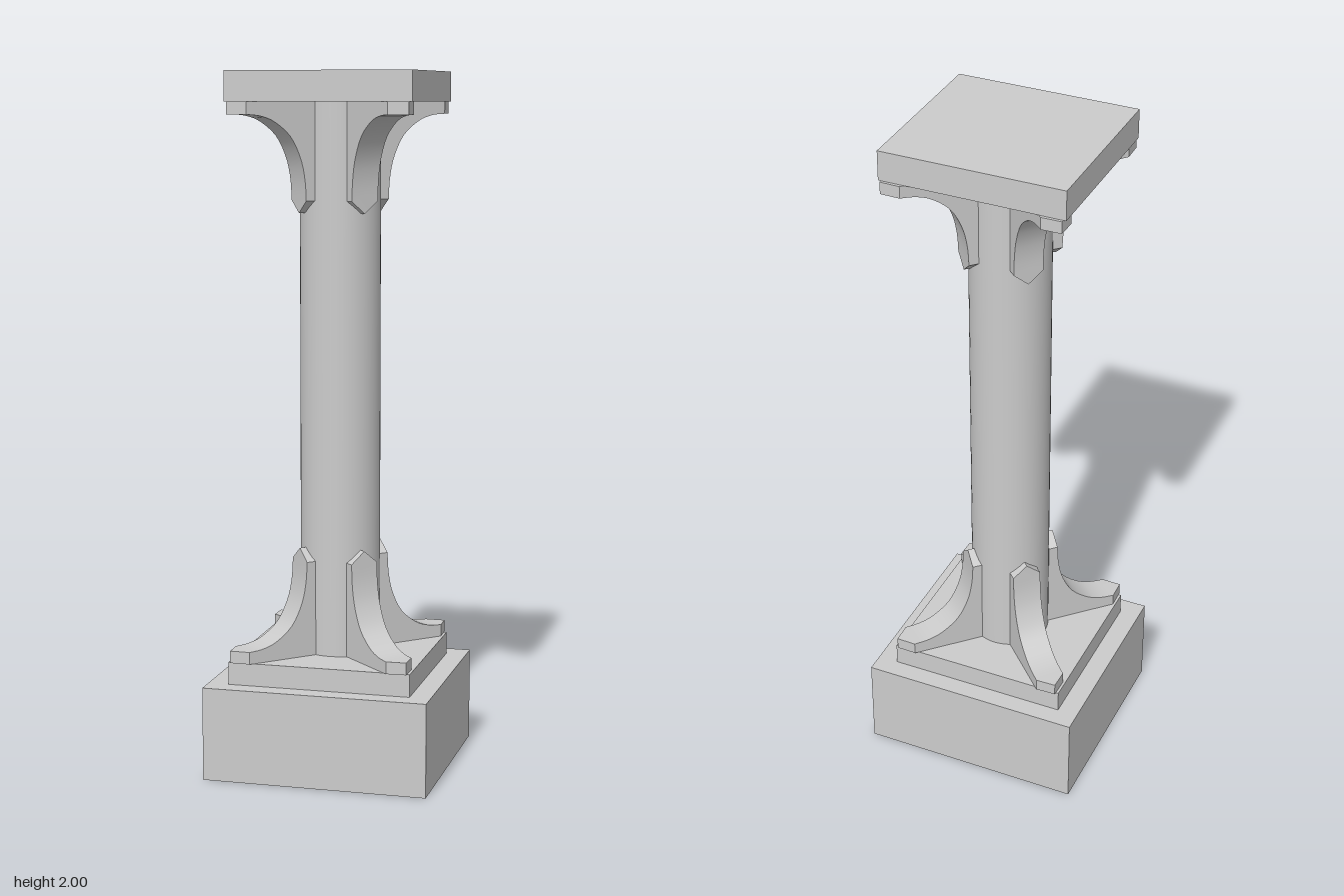
import * as THREE from 'three';
import { toCreasedNormals } from 'three/addons/utils/BufferGeometryUtils.js';

const HALF_WIDTH = 0.042;
const material = new THREE.MeshStandardMaterial({ color: 0xcccccc });

function addMesh(parent, name, geometry, y = 0) {
  const mesh = new THREE.Mesh(geometry, material);
  mesh.name = name;
  mesh.position.y = y;
  parent.add(mesh);
  return mesh;
}

// Curved bracket, profile in (radius, height), with a pointed tip at both ends
function bracketGeometry() {
  const curve = new THREE.SplineCurve([
    [0.135, 0.61], [0.139, 0.55], [0.153, 0.49], [0.185, 0.43],
    [0.235, 0.39], [0.28, 0.374], [0.323, 0.37],
  ].map(([r, y]) => new THREE.Vector2(r, y)));
  const shape = new THREE.Shape([
    new THREE.Vector2(0.06, 0.335),
    new THREE.Vector2(0.323, 0.335),
    ...curve.getPoints(20).reverse(),
    new THREE.Vector2(0.06, 0.61),
  ]);
  const geometry = new THREE.ExtrudeGeometry(shape, {
    depth: 2 * HALF_WIDTH, steps: 2, bevelEnabled: false,
  });
  geometry.translate(0, 0, -HALF_WIDTH);

  // Push the middle layer outwards at the ends to form the points
  const p = geometry.attributes.position;
  for (let i = 0; i < p.count; i++) {
    if (Math.abs(p.getZ(i)) > 0.001) continue;
    if (p.getX(i) > 0.322) p.setX(i, p.getX(i) + 0.04);
    if (p.getY(i) > 0.609) p.setY(i, p.getY(i) + 0.035);
  }
  return toCreasedNormals(geometry, Math.PI / 6);
}

function bracketRing(name, geometry) {
  const ring = new THREE.Group();
  ring.name = name;
  for (let i = 0; i < 4; i++) {
    addMesh(ring, 'bracket', geometry).rotation.y = Math.PI / 4 + i * Math.PI / 2;
  }
  return ring;
}

export function createModel() {
  const model = new THREE.Group();
  model.name = 'column';

  // Stacked base, round shaft and top slab
  addMesh(model, 'base', new THREE.BoxGeometry(0.65, 0.27, 0.61), 0.135);
  addMesh(model, 'plinth', new THREE.BoxGeometry(0.53, 0.065, 0.498), 0.3025);
  addMesh(model, 'shaft', new THREE.CylinderGeometry(0.115, 0.115, 1.58, 48), 1.125);
  addMesh(model, 'capital', new THREE.BoxGeometry(0.53, 0.085, 0.498), 1.9575);

  // Four diagonal brackets at the foot, and the same ring turned over at the top
  const geometry = bracketGeometry();
  const lower = bracketRing('lowerBrackets', geometry);
  const upper = bracketRing('upperBrackets', geometry);
  upper.rotation.x = Math.PI;
  upper.position.y = 2.25;
  model.add(lower, upper);

  return model;
}
